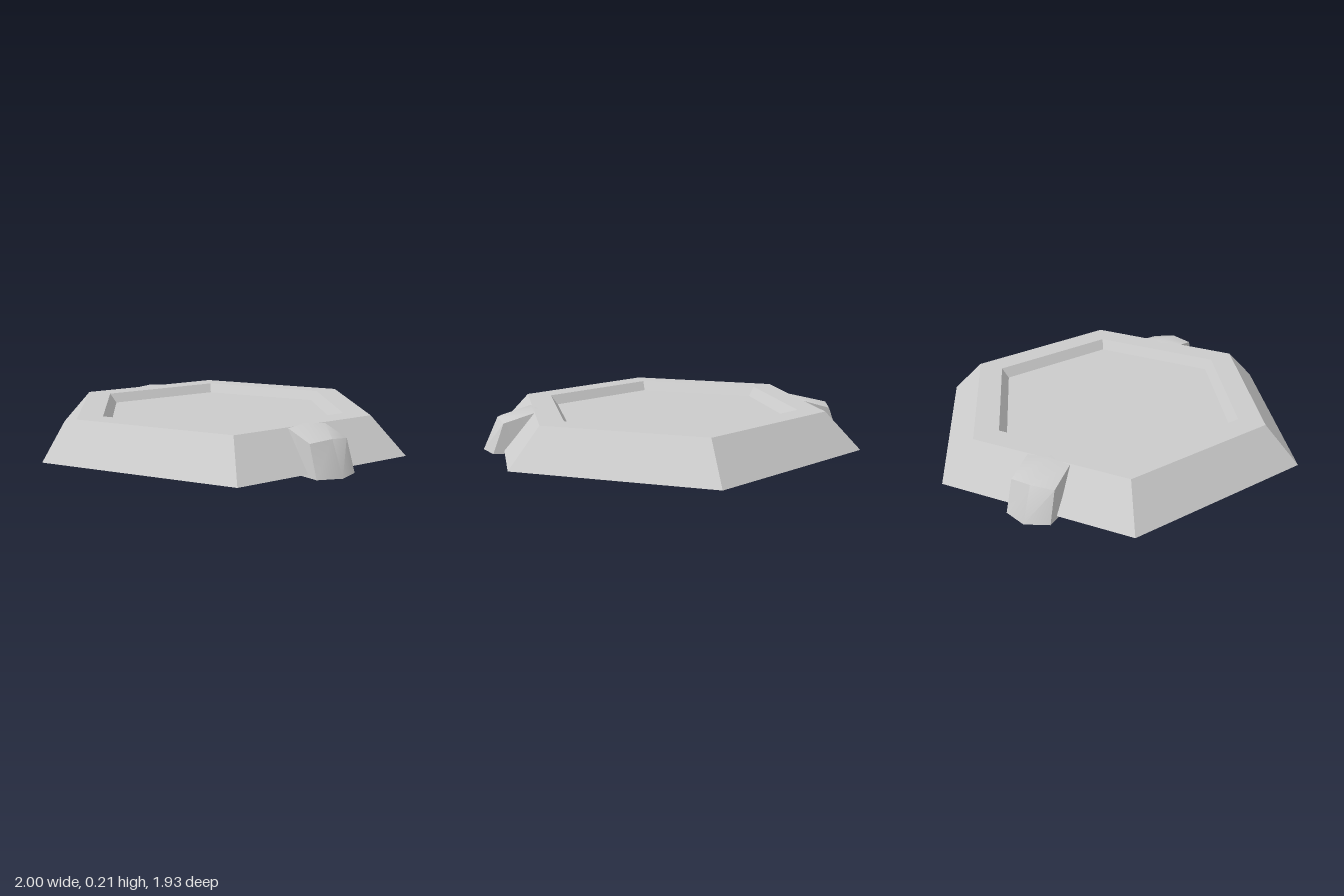
import * as THREE from 'three';
import { toCreasedNormals } from 'three/addons/utils/BufferGeometryUtils.js';

const grey = new THREE.MeshStandardMaterial({ color: 0xcccccc });
const greyFlat = new THREE.MeshStandardMaterial({ color: 0xcccccc, flatShading: true });

// Clip lofted from its outer toe inward over the rim; each station is a five-point arch
function clipGeometry() {
  // [bottom half width, top half width, shoulder z, shoulder y, ridge z, ridge y]
  const stations = [
    [0.113, 0.113, 0.92, 0, 0.965, 0],
    [0.117, 0.11, 0.865, 0.152, 0.89, 0.165],
    [0.127, 0.11, 0.715, 0.197, 0.72, 0.207],
    [0.135, 0.11, 0.63, 0.175, 0.63, 0.19],
  ];
  const positions = [];
  for (const [wb, wt, zs, ys, zr, yr] of stations) {
    positions.push(-wb, 0, zs, -wt, ys, zs, 0, yr, zr, wt, ys, zs, wb, 0, zs);
  }
  const index = [];
  for (let s = 0; s < stations.length - 1; s++) {
    for (let i = 0; i < 5; i++) {
      const a = s * 5 + i, b = s * 5 + (i + 1) % 5;
      // skip the zero-length shoulder edges at the toe
      if (s > 0 || (i !== 0 && i !== 3)) index.push(a, b, b + 5);
      index.push(a, b + 5, a + 5);
    }
  }
  index.push(0, 4, 2); // underside of the pointed toe
  const e = (stations.length - 1) * 5;
  for (let i = 1; i < 4; i++) index.push(e, e + i, e + i + 1); // inner end
  const geo = new THREE.BufferGeometry();
  geo.setAttribute('position', new THREE.Float32BufferAttribute(positions, 3));
  geo.setIndex(index);
  return toCreasedNormals(geo, 0.84);
}

export function createModel() {
  const group = new THREE.Group();

  // Hexagonal base: sloped sides, flat rim and shallow recess
  const profile = [
    [0, 0.015], [1, 0.015], [0.82, 0.2], [0.68, 0.2], [0.64, 0.152], [0, 0.152],
  ].map(([r, y]) => new THREE.Vector2(r, y));
  const base = new THREE.Mesh(new THREE.LatheGeometry(profile, 6, Math.PI / 2), greyFlat);
  base.name = 'hexagonalBase';
  group.add(base);

  // Matching clips at front and back
  const clip = clipGeometry();
  ['frontClip', 'backClip'].forEach((name, i) => {
    const mesh = new THREE.Mesh(clip, grey);
    mesh.name = name;
    mesh.rotation.y = i * Math.PI;
    group.add(mesh);
  });
  return group;
}
